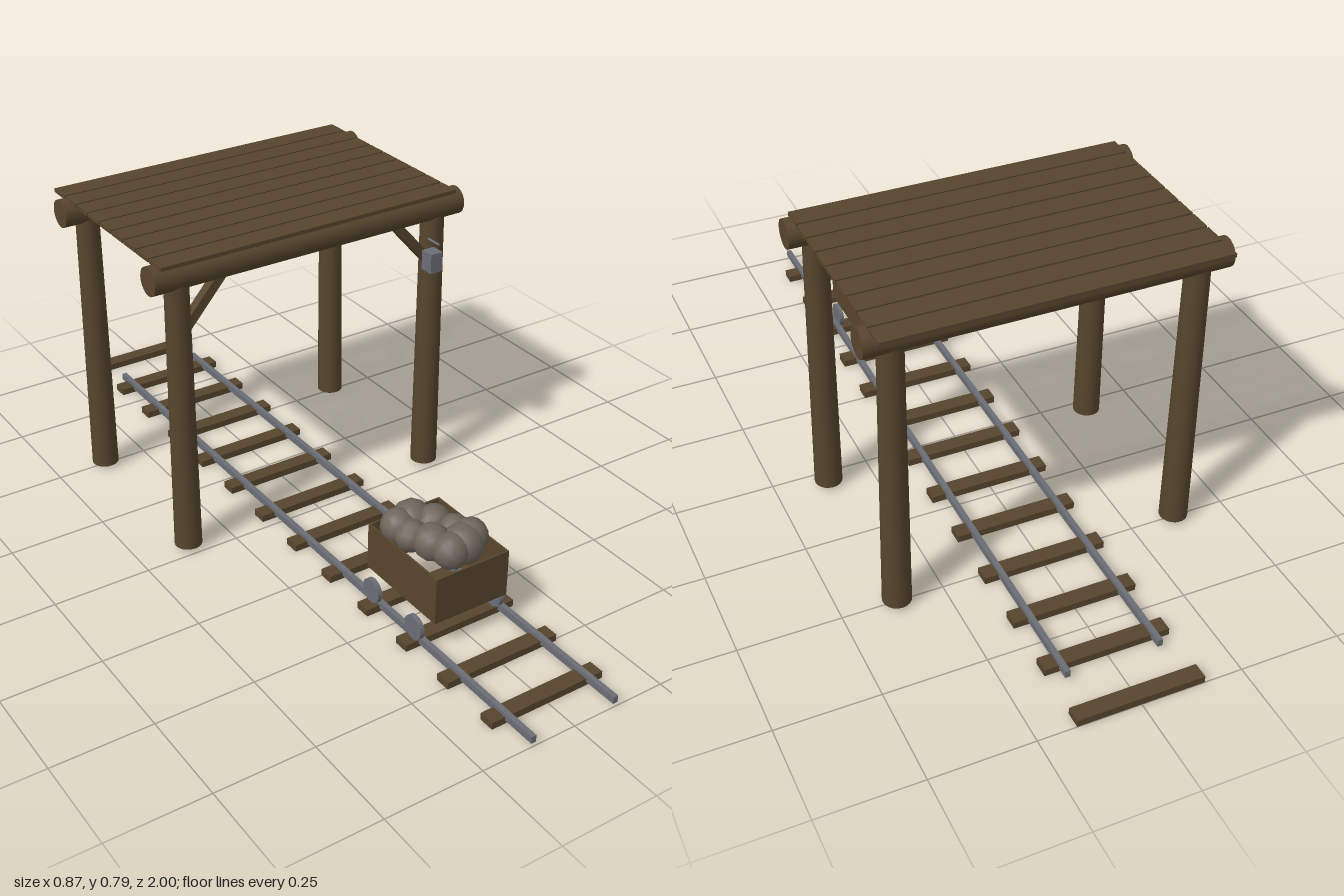
import * as THREE from 'three';

export function createModel() {
  const model = new THREE.Group();
  const paint = (name, color) => {
    const m = new THREE.MeshStandardMaterial({ color });
    m.name = name;
    return m;
  };
  const wood = paint('dark wood', 0x57452d);
  const steel = paint('steel', 0x6c6e76);
  const stone = paint('stone', 0x6e655b);

  const add = (parent, name, geometry, material, x, y, z) => {
    const mesh = new THREE.Mesh(geometry, material);
    mesh.name = name;
    mesh.position.set(x, y, z);
    parent.add(mesh);
    return mesh;
  };
  const group = (name) => {
    const g = new THREE.Group();
    g.name = name;
    model.add(g);
    return g;
  };
  const box = (w, h, d) => new THREE.BoxGeometry(w, h, d);

  // Track: evenly spaced sleepers and two rails
  const track = group('track');
  for (let i = 0; i < 13; i++) {
    add(track, 'sleeper', box(0.312, 0.018, 0.04), wood, 0, 0.009, 0.892 - i * 0.156);
  }
  for (const s of [-1, 1]) {
    add(track, 'rail', box(0.013, 0.018, 1.875), steel, s * 0.115, 0.019, 0.0625);
  }

  // Shelter: log posts and cross beams
  const shelter = group('shelter');
  for (const z of [-0.04, -0.5]) {
    for (const s of [-1, 1]) {
      add(shelter, 'post', new THREE.CylinderGeometry(0.03, 0.035, 0.725, 20), wood, s * 0.365, 0.3725, z);
    }
    const beam = add(shelter, 'beam', new THREE.CylinderGeometry(0.036, 0.036, 0.874, 20), wood, 0, 0.751, z);
    beam.rotation.z = Math.PI / 2;
  }

  // Diagonal braces on the front frame
  for (const s of [-1, 1]) {
    const brace = add(shelter, 'brace', box(0.024, 0.17, 0.024), wood, s * 0.295, 0.672, -0.04);
    brace.rotation.z = s * 0.72;
  }

  // Roof planks
  for (let i = 0; i < 9; i++) {
    add(shelter, 'roofPlank', box(0.832, 0.01, 0.057), wood, 0, 0.785, -0.042 - i * 0.0624);
  }

  // Lantern hanging from a peg on the front post
  const lantern = group('lantern');
  add(lantern, 'lanternBody', box(0.035, 0.052, 0.038), steel, 0.321, 0.635, 0.024);
  const peg = add(lantern, 'peg', new THREE.CylinderGeometry(0.003, 0.003, 0.045, 8), steel, 0.335, 0.677, 0.01);
  peg.rotation.x = Math.PI / 2;

  // Cart: thin walls, open above and below
  const cart = group('cart');
  for (const s of [-1, 1]) {
    add(cart, 'cartSide', box(0.005, 0.122, 0.266), wood, -0.001 + s * 0.1005, 0.14, 0.502);
    add(cart, 'cartEnd', box(0.206, 0.122, 0.005), wood, -0.001, 0.14, 0.502 + s * 0.1305);
  }

  // Wheels
  for (const x of [-0.124, 0.106]) {
    for (const z of [0.42, 0.586]) {
      const wheel = add(cart, 'wheel', new THREE.CylinderGeometry(0.031, 0.031, 0.012, 20), steel, x, 0.049, z);
      wheel.rotation.z = Math.PI / 2;
    }
  }

  // Heap of rocks: x, y, z, radius
  const rocks = [
    [-0.062, 0.215, 0.43, 0.044], [-0.02, 0.215, 0.425, 0.05],
    [-0.058, 0.212, 0.475, 0.04], [0.012, 0.218, 0.465, 0.045],
    [-0.035, 0.215, 0.525, 0.046], [0.035, 0.215, 0.515, 0.04],
    [-0.02, 0.214, 0.575, 0.044], [0.046, 0.222, 0.56, 0.044],
    [0.02, 0.215, 0.568, 0.05],
  ];
  rocks.forEach(([x, y, z, r], i) => {
    const rock = add(cart, 'rock', new THREE.SphereGeometry(r, 12, 8), stone, x, y, z);
    rock.rotation.set(i * 0.7, i * 1.3, i * 0.4);
  });

  return model;
}
